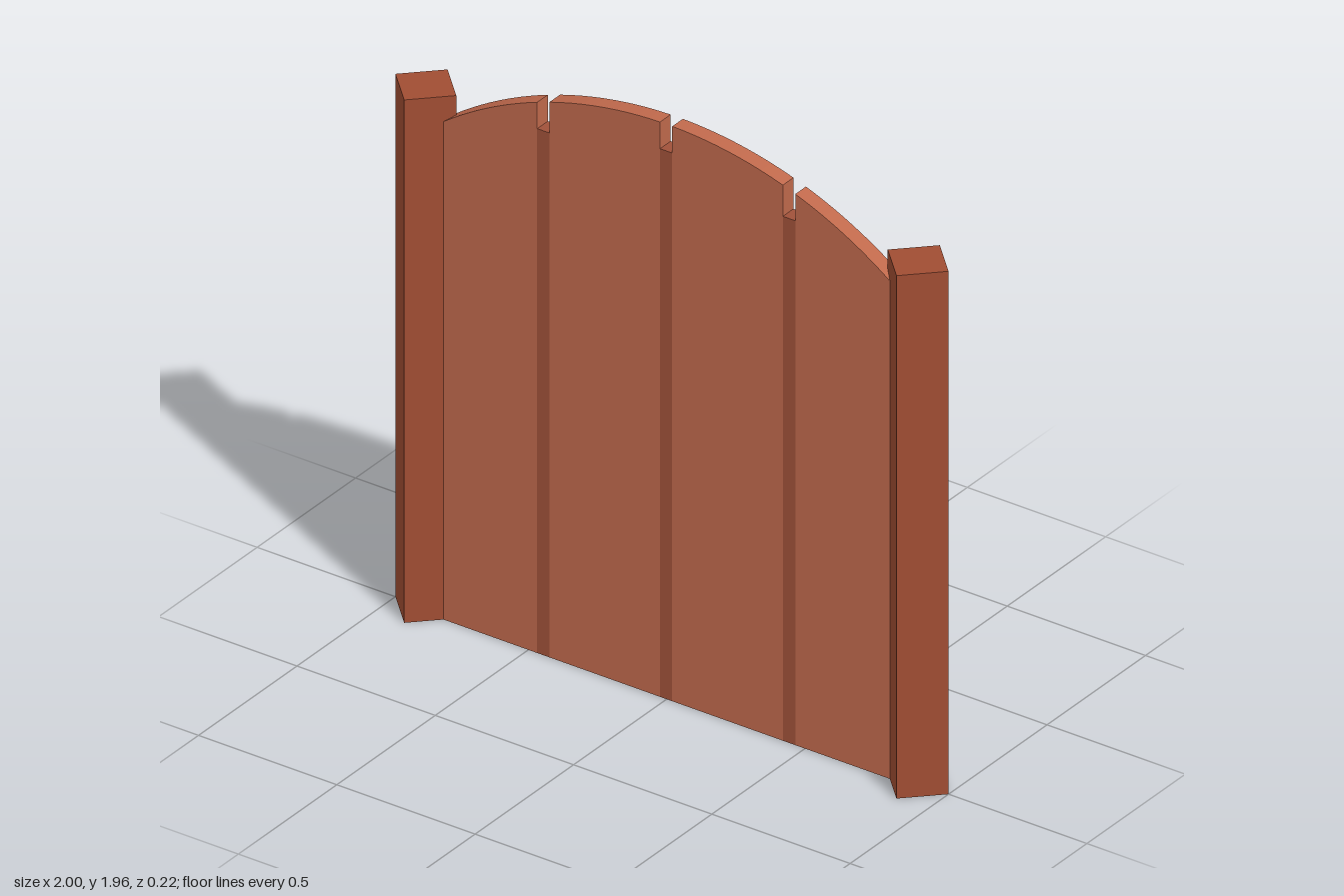
import * as THREE from 'three';

const DEPTH = 0.054;   // panel thickness
const RADIUS = 1.374;  // radius of the arched top
const PEAK = 1.957;

const archY = (x) => PEAK - RADIUS + Math.sqrt(RADIUS * RADIUS - x * x);

export function createModel() {
  const group = new THREE.Group();
  const plankMat = new THREE.MeshStandardMaterial({ color: 0xc0694c, flatShading: true });
  const stripMat = new THREE.MeshStandardMaterial({ color: 0xa0523a, flatShading: true });
  const postMat = new THREE.MeshStandardMaterial({ color: 0xa04d33, flatShading: true });

  const add = (name, geometry, material, x = 0, y = 0, z = 0) => {
    const mesh = new THREE.Mesh(geometry, material);
    mesh.name = name;
    mesh.position.set(x, y, z);
    group.add(mesh);
    return mesh;
  };

  // Planks with tops cut along one shared arch
  const planks = [[-0.81, -0.468], [-0.424, -0.024], [0.02, 0.42], [0.465, 0.81]];
  planks.forEach(([x0, x1], i) => {
    const shape = new THREE.Shape();
    shape.moveTo(x0, 0);
    shape.lineTo(x1, 0);
    const steps = 10;
    for (let s = 0; s <= steps; s++) {
      const x = x1 + (x0 - x1) * s / steps;
      shape.lineTo(x, archY(x));
    }
    const geometry = new THREE.ExtrudeGeometry(shape, { depth: DEPTH, bevelEnabled: false });
    add(`plank${i + 1}`, geometry, plankMat, 0, 0, -DEPTH / 2);
  });

  // Shorter joint strips filling the gaps between planks
  [1.785, 1.866, 1.785].forEach((height, i) => {
    const x0 = planks[i][1], x1 = planks[i + 1][0];
    add(`jointStrip${i + 1}`, new THREE.BoxGeometry(x1 - x0, height, DEPTH), stripMat,
      (x0 + x1) / 2, height / 2);
  });

  // Square end posts turned on the diagonal
  const side = 0.11 * Math.SQRT2;
  for (const s of [-1, 1]) {
    const post = add(s > 0 ? 'leftPost' : 'rightPost', new THREE.BoxGeometry(side, 1.78, side),
      postMat, s * 0.89, 0.89);
    post.rotation.y = Math.PI / 4;
  }

  return group;
}
